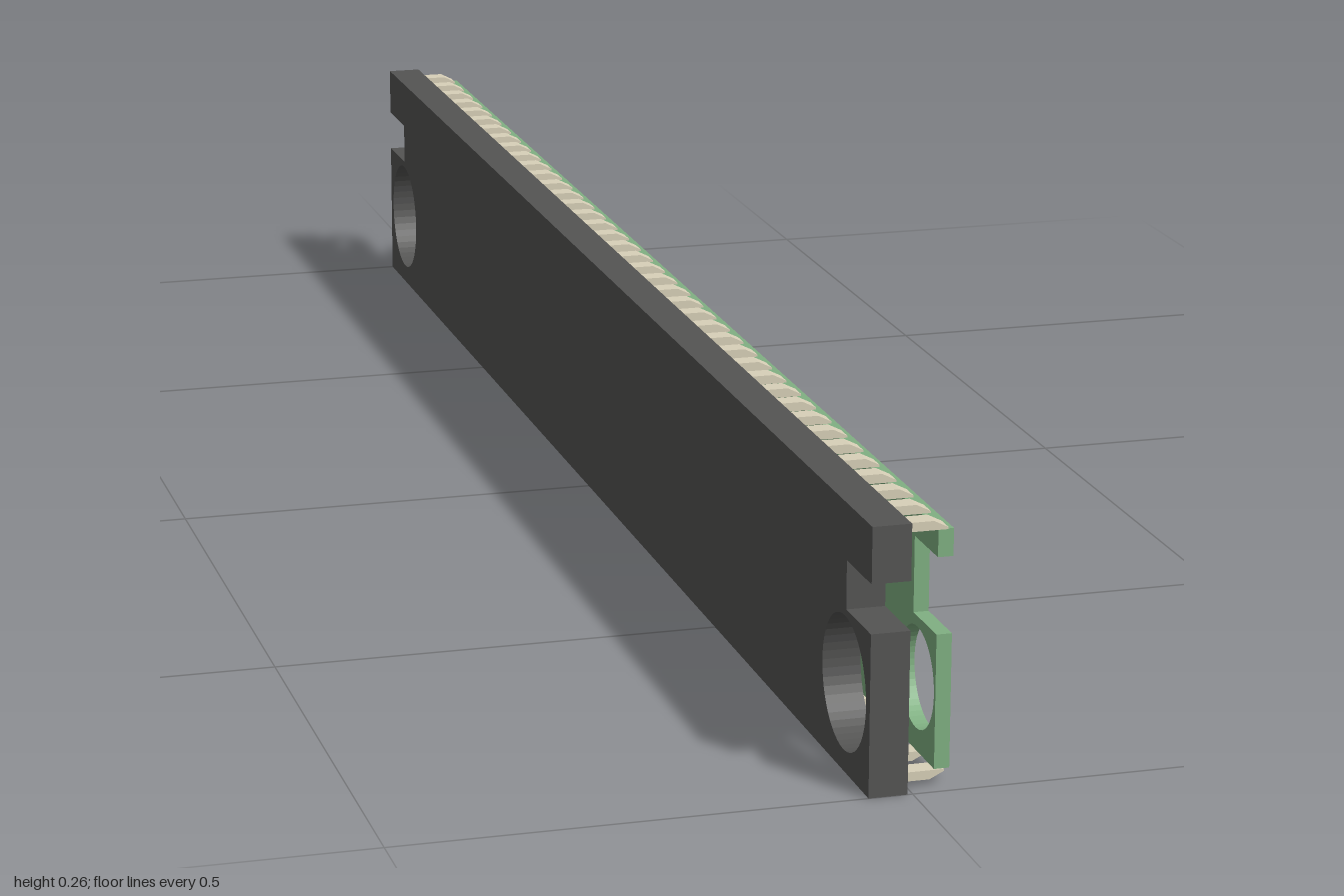
import * as THREE from 'three';

// Side-notched plate with two round holes, lying in the z-y plane between x0 and x1
function plate(name, color, p) {
  const { x0, x1, y0, y1, zBack, zFront, notchY0, notchY1, notchBack, notchFront, holes, holeY, holeR } = p;
  // Shape coordinate s equals -z, so the back end is at positive s
  const shape = new THREE.Shape([
    [-zFront, y0], [-zBack, y0],
    [-zBack, notchY0], [-notchBack, notchY0], [-notchBack, notchY1], [-zBack, notchY1],
    [-zBack, y1], [-zFront, y1],
    [-zFront, notchY1], [-notchFront, notchY1], [-notchFront, notchY0], [-zFront, notchY0],
  ].map(([s, y]) => new THREE.Vector2(s, y)));
  for (const z of holes) {
    const hole = new THREE.Path();
    hole.absarc(-z, holeY, holeR, 0, Math.PI * 2, true);
    shape.holes.push(hole);
  }
  const geo = new THREE.ExtrudeGeometry(shape, { depth: x1 - x0, bevelEnabled: false, curveSegments: 24 });
  geo.rotateY(Math.PI / 2).translate(x0, 0, 0);
  const mesh = new THREE.Mesh(geo, new THREE.MeshStandardMaterial({ color }));
  mesh.name = name;
  return mesh;
}

export function createModel() {
  const model = new THREE.Group();
  model.name = 'connectorStrip';

  // Thick dark housing
  model.add(plate('housing', 0x545453, {
    x0: -0.043, x1: -0.005, y0: 0, y1: 0.263, zBack: -1, zFront: 1,
    notchY0: 0.16, notchY1: 0.208, notchBack: -0.92, notchFront: 0.927,
    holes: [-0.923, 0.923], holeY: 0.087, holeR: 0.066,
  }));

  // Thin green board, held clear of the housing by the contacts
  model.add(plate('board', 0x80b082, {
    x0: 0.027, x1: 0.042, y0: 0.015, y1: 0.249, zBack: -0.985, zFront: 0.981,
    notchY0: 0.147, notchY1: 0.222, notchBack: -0.906, notchFront: 0.915,
    holes: [-0.921, 0.927], holeY: 0.087, holeR: 0.05,
  }));

  // Contact pins with a tapered tip, in a row along the top and bottom edges
  const count = 40, pitch = 0.05, width = 0.02, midY = 0.132;
  const pinMaterial = new THREE.MeshStandardMaterial({ color: 0xd8d0b8 });
  const pinGeometry = (side) => {
    const pts = [[-0.006, 0.117], [0.036, 0.117], [0.036, 0.119], [0.022, 0.126], [-0.006, 0.126]]
      .map(([x, y]) => new THREE.Vector2(x, midY + side * y));
    return new THREE.ExtrudeGeometry(new THREE.Shape(pts), { depth: width, bevelEnabled: false })
      .translate(0, 0, -width / 2);
  };
  for (const [name, side] of [['topPins', 1], ['bottomPins', -1]]) {
    const row = new THREE.Group();
    row.name = name;
    const geo = pinGeometry(side);
    for (let i = 0; i < count; i++) {
      const pin = new THREE.Mesh(geo, pinMaterial);
      pin.name = 'pin';
      pin.position.z = (i - (count - 1) / 2) * pitch - 0.002;
      row.add(pin);
    }
    model.add(row);
  }
  return model;
}
